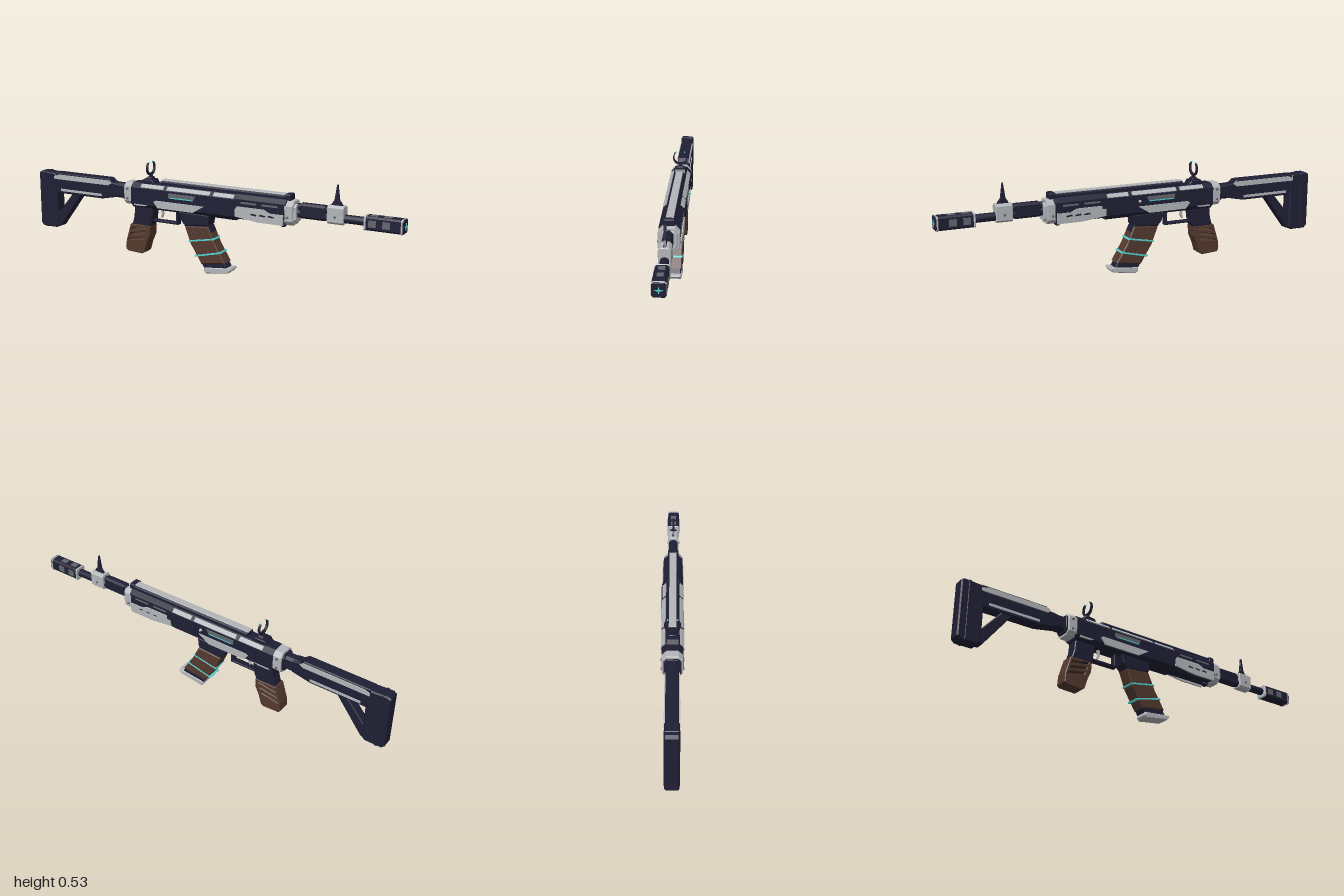
import * as THREE from 'three';

const mat = (name, color) => {
  const m = new THREE.MeshStandardMaterial({ color });
  m.name = name;
  return m;
};

export function createModel() {
  const navy = mat('dark navy', 0x1f1f35);
  const pale = mat('pale grey metal', 0xb3b6ba);
  const brown = mat('brown leather', 0x53392e);
  const teal = mat('glowing teal', 0x55d2d2);
  const steel = mat('dark grey steel', 0x63666c);

  const model = new THREE.Group();
  model.name = 'rifle';
  model.position.z = 0.006;

  const add = (name, geo, material) => {
    const mesh = new THREE.Mesh(geo, material);
    mesh.name = name;
    model.add(mesh);
    return mesh;
  };
  const toShape = (pts) => new THREE.Shape(pts.map(([a, b]) => new THREE.Vector2(a, b)));
  const extrude = (shape, depth, b) => new THREE.ExtrudeGeometry(shape, {
    depth: depth - 2 * b, bevelEnabled: b > 0, bevelThickness: b, bevelSize: b,
    bevelOffset: -b, bevelSegments: 1, curveSegments: 8,
  }).translate(0, 0, b - depth / 2);

  // Side profile extruded across the width
  const slab = (name, material, pts, halfWidth, bevel = 0.004, holes = []) => {
    const s = toShape(pts);
    holes.forEach((h) => s.holes.push(toShape(h)));
    return add(name, extrude(s, halfWidth * 2, bevel), material);
  };
  // Thin plate repeated on both flanks
  const plates = (name, material, pts, z, thick = 0.008, holes = []) => {
    for (const side of [1, -1]) {
      slab(name, material, pts, thick / 2, 0, holes).position.z = side * z;
    }
  };
  const rect = (x0, x1, y0, y1) => [[x0, y0], [x1, y0], [x1, y1], [x0, y1]];
  // Chamfered block running along x
  const block = (name, material, x0, x1, y0, y1, w, c = 0.006) => {
    const s = toShape([[-w + c, y0], [w - c, y0], [w, y0 + c], [w, y1 - c],
      [w - c, y1], [-w + c, y1], [-w, y1 - c], [-w, y0 + c]]);
    const g = extrude(s, x1 - x0, 0.003).rotateY(Math.PI / 2).translate((x0 + x1) / 2, 0, 0);
    return add(name, g, material);
  };
  const rod = (name, material, x0, x1, y, r, z = 0) => add(name,
    new THREE.CylinderGeometry(r, r, x1 - x0, 16).rotateZ(Math.PI / 2)
      .translate((x0 + x1) / 2, y, z), material);

  // Shoulder stock
  slab('buttPad', navy, [[-1, 0.135], [-0.985, 0.12], [-0.9, 0.12], [-0.885, 0.135],
    [-0.885, 0.4], [-0.9, 0.415], [-0.985, 0.42], [-1, 0.41]], 0.032, 0.006);
  block('buttSeam', navy, -0.965, -0.95, 0.118, 0.421, 0.034);
  slab('stockFrame', navy, [[-0.9, 0.31], [-0.6, 0.31], [-0.5, 0.33], [-0.5, 0.395], [-0.54, 0.4],
    [-0.56, 0.418], [-0.9, 0.418]], 0.029, 0.004,
  [[[-0.895, 0.335], [-0.59, 0.335], [-0.545, 0.385], [-0.895, 0.385]]]);
  slab('stockStrut', navy, [[-0.895, 0.13], [-0.875, 0.13], [-0.735, 0.315], [-0.79, 0.315],
    [-0.885, 0.205], [-0.895, 0.205]], 0.024);
  plates('stockUpperInlay', pale, [[-0.9, 0.385], [-0.56, 0.385], [-0.54, 0.396], [-0.56, 0.41],
    [-0.87, 0.41], [-0.9, 0.4]], 0.03);
  plates('stockLowerInlay', pale, rect(-0.86, -0.6, 0.323, 0.335), 0.029);
  block('stockTube', navy, -0.58, -0.44, 0.325, 0.4, 0.028, 0.012);

  // Receiver and rear collar
  block('receiver', navy, -0.41, 0.18, 0.29, 0.418, 0.05, 0.022);
  block('rearCollar', pale, -0.452, -0.405, 0.303, 0.416, 0.048, 0.02);
  block('rearCollarStep', navy, -0.462, -0.45, 0.315, 0.405, 0.04, 0.014);
  plates('receiverPlate', pale, [[-0.275, 0.335], [-0.26, 0.342], [0.01, 0.342], [-0.05, 0.305],
    [-0.25, 0.305]], 0.051);
  plates('receiverFin', pale, [[-0.39, 0.305], [-0.33, 0.305], [-0.31, 0.312], [-0.39, 0.312]], 0.048);
  plates('ejectionPort', steel, [[-0.19, 0.363], [-0.05, 0.363], [-0.035, 0.387], [-0.19, 0.387]], 0.049);
  plates('portGlow', teal, rect(-0.18, -0.05, 0.362, 0.367), 0.05);
  for (const side of [1, -1]) {
    for (const [x0, x1] of [[-0.35, -0.22], [-0.2, 0.04], [0.06, 0.17]]) {
      const strip = add('shoulderStrip', new THREE.BoxGeometry(x1 - x0, 0.022, 0.008), pale);
      strip.position.set((x0 + x1) / 2, 0.406, side * 0.041);
      strip.rotation.x = -side * Math.PI / 4;
    }
    for (const [x, y] of [[-0.43, 0.335], [-0.43, 0.385], [-0.215, 0.325], [0.45, 0.34], [0.675, 0.365]]) {
      const w = x > 0.6 ? 0.028 : 0.05;
      add('screw', new THREE.CylinderGeometry(0.006, 0.006, 0.008, 8).rotateX(Math.PI / 2)
        .translate(x, y, side * w), steel);
    }
  }
  add('boltHandle', new THREE.ConeGeometry(0.012, 0.022, 10).rotateX(-Math.PI / 2)
    .translate(0, 0.366, -0.054), pale);
  slab('boltCover', navy, rect(0.03, 0.2, 0.35, 0.395), 0.004, 0).position.z = -0.052;

  // Handguard with vented panels
  block('handguard', navy, 0.175, 0.44, 0.305, 0.42, 0.049, 0.02);
  block('handguardBelly', navy, 0.18, 0.42, 0.298, 0.315, 0.03);
  const slots = [0.26, 0.305, 0.35].map((x) => [[x, 0.33], [x + 0.03, 0.327], [x + 0.036, 0.336], [x + 0.006, 0.34]]);
  plates('handguardPanel', pale, [[0.18, 0.315], [0.3, 0.3], [0.43, 0.3], [0.43, 0.35],
    [0.36, 0.35], [0.33, 0.365], [0.19, 0.365], [0.18, 0.35]], 0.05, 0.009, slots);
  for (const x of [0.21, 0.32]) plates('handguardVent', steel, rect(x, x + 0.08, 0.38, 0.389), 0.047);
  block('frontCollar', pale, 0.43, 0.475, 0.3, 0.416, 0.049, 0.022);
  block('frontCollarLip', pale, 0.472, 0.487, 0.315, 0.402, 0.038, 0.014);
  add('sling stud', new THREE.SphereGeometry(0.018, 12, 8).translate(0.41, 0.298, 0), navy);

  // Top rail
  block('topRail', navy, -0.25, 0.455, 0.41, 0.438, 0.026);
  block('railCap', pale, -0.25, 0.43, 0.434, 0.443, 0.018, 0.002);
  block('railEnd', navy, 0.425, 0.455, 0.415, 0.445, 0.028);

  // Barrel, gas tube and muzzle
  rod('barrel', navy, 0.47, 0.84, 0.357, 0.02);
  rod('gasTube', navy, 0.47, 0.65, 0.388, 0.016);
  block('barrelSleeve', navy, 0.5, 0.625, 0.337, 0.408, 0.022, 0.01);
  block('frontSightBlock', pale, 0.635, 0.715, 0.33, 0.416, 0.028, 0.01);
  slab('frontSightSpike', navy, [[0.645, 0.41], [0.705, 0.41], [0.698, 0.425], [0.686, 0.44],
    [0.676, 0.511], [0.672, 0.511], [0.662, 0.44], [0.652, 0.425]], 0.006, 0.001);
  block('muzzle', navy, 0.82, 0.997, 0.323, 0.388, 0.03, 0.008);
  for (const x of [0.812, 0.982]) block('muzzleTrim', pale, x, x + 0.01, 0.321, 0.39, 0.032, 0.008);
  for (const x of [0.835, 0.9]) {
    plates('muzzleWindow', steel, rect(x, x + 0.035, 0.34, 0.372), 0.029);
    add('muzzleTopWindow', new THREE.BoxGeometry(0.035, 0.006, 0.028).translate(x + 0.018, 0.387, 0), steel);
  }
  const star = [];
  for (let i = 0; i < 8; i++) {
    const r = i % 2 ? 0.005 : 0.019, a = i * Math.PI / 4;
    star.push([r * Math.cos(a), r * Math.sin(a)]);
  }
  add('muzzleStar', extrude(toShape(star), 0.006, 0).rotateY(Math.PI / 2).translate(0.997, 0.355, 0), teal);

  // Crescent rear sight
  slab('rearSightBase', navy, [[-0.365, 0.412], [-0.28, 0.412], [-0.295, 0.438], [-0.35, 0.438]], 0.03);
  block('rearSightPost', navy, -0.335, -0.305, 0.43, 0.449, 0.02);
  rod('rearSightStem', navy, -0.327, -0.313, 0.453, 0.008);
  const crescent = (name, material, a0, a1) => {
    const outer = [], inner = [];
    for (let i = 0; i <= 20; i++) {
      const d = a0 + (a1 - a0) * i / 20;
      const a = d * Math.PI / 180;
      const r = 0.037 - 0.002 - 0.009 * Math.max(0, 1 - Math.abs(d - 270) / 150);
      outer.push([0.038 * Math.cos(a), 0.038 * Math.sin(a)]);
      inner.unshift([r * Math.cos(a), r * Math.sin(a)]);
    }
    add(name, extrude(toShape([...outer, ...inner]), 0.011, 0).rotateY(Math.PI / 2)
      .translate(-0.32, 0.494, 0), material);
  };
  crescent('rearSightCrescent', navy, 132, 408);
  crescent('crescentTip', teal, 122, 132);
  crescent('crescentTip', teal, 408, 418);

  // Pistol grip wrapped in slotted leather
  slab('gripNeck', navy, [[-0.42, 0.19], [-0.315, 0.19], [-0.3, 0.22], [-0.29, 0.295], [-0.4, 0.295],
    [-0.405, 0.24]], 0.03);
  const gripSlots = [0.182, 0.153, 0.124, 0.095].map((y, i) => {
    const x = -0.372 - i * 0.01;
    return [[x - 0.05, y - 0.013], [x + 0.045, y + 0.004], [x + 0.045, y + 0.014], [x - 0.044, y - 0.002]];
  });
  slab('gripWrap', brown, [[-0.455, 0.065], [-0.445, 0.055], [-0.36, 0.05], [-0.345, 0.06], [-0.33, 0.11],
    [-0.312, 0.15], [-0.308, 0.2], [-0.425, 0.2], [-0.44, 0.15], [-0.452, 0.11]], 0.034, 0.003, gripSlots);

  // Trigger and guard
  slab('triggerGuard', navy, [[-0.31, 0.222], [-0.155, 0.222], [-0.155, 0.295], [-0.167, 0.295],
    [-0.167, 0.233], [-0.31, 0.233]], 0.016, 0.002);
  slab('trigger', pale, [[-0.262, 0.295], [-0.256, 0.265], [-0.262, 0.245], [-0.255, 0.245],
    [-0.245, 0.265], [-0.247, 0.295]], 0.007, 0.001);

  // Curved magazine with glowing bands
  slab('magazineWell', navy, [[-0.14, 0.295], [-0.125, 0.25], [-0.105, 0.228], [0.025, 0.245],
    [0.03, 0.295]], 0.036);
  slab('magazineCore', navy, [[-0.1, 0.24], [-0.065, 0.14], [0, 0.025], [0.125, 0.04], [0.06, 0.155],
    [0.02, 0.25]], 0.031);
  slab('magazineWrap', brown, [[-0.107, 0.228], [-0.073, 0.14], [-0.013, 0.045], [0.117, 0.065],
    [0.062, 0.155], [0.024, 0.238]], 0.036, 0.005);
  for (const [x0, y0, x1, y1] of [[-0.083, 0.155, 0.054, 0.181], [-0.05, 0.083, 0.091, 0.117]]) {
    slab('magazineBand', teal, [[x0 + 0.003, y0 - 0.005], [x1 + 0.003, y1 - 0.005],
      [x1 - 0.001, y1 + 0.003], [x0 - 0.001, y0 + 0.003]], 0.037, 0.001);
  }
  slab('magazineFoot', pale, [[0, 0.012], [0.012, 0], [0.135, 0.018], [0.152, 0.035], [0.148, 0.044],
    [0.002, 0.03]], 0.034, 0.004);

  return model;
}
